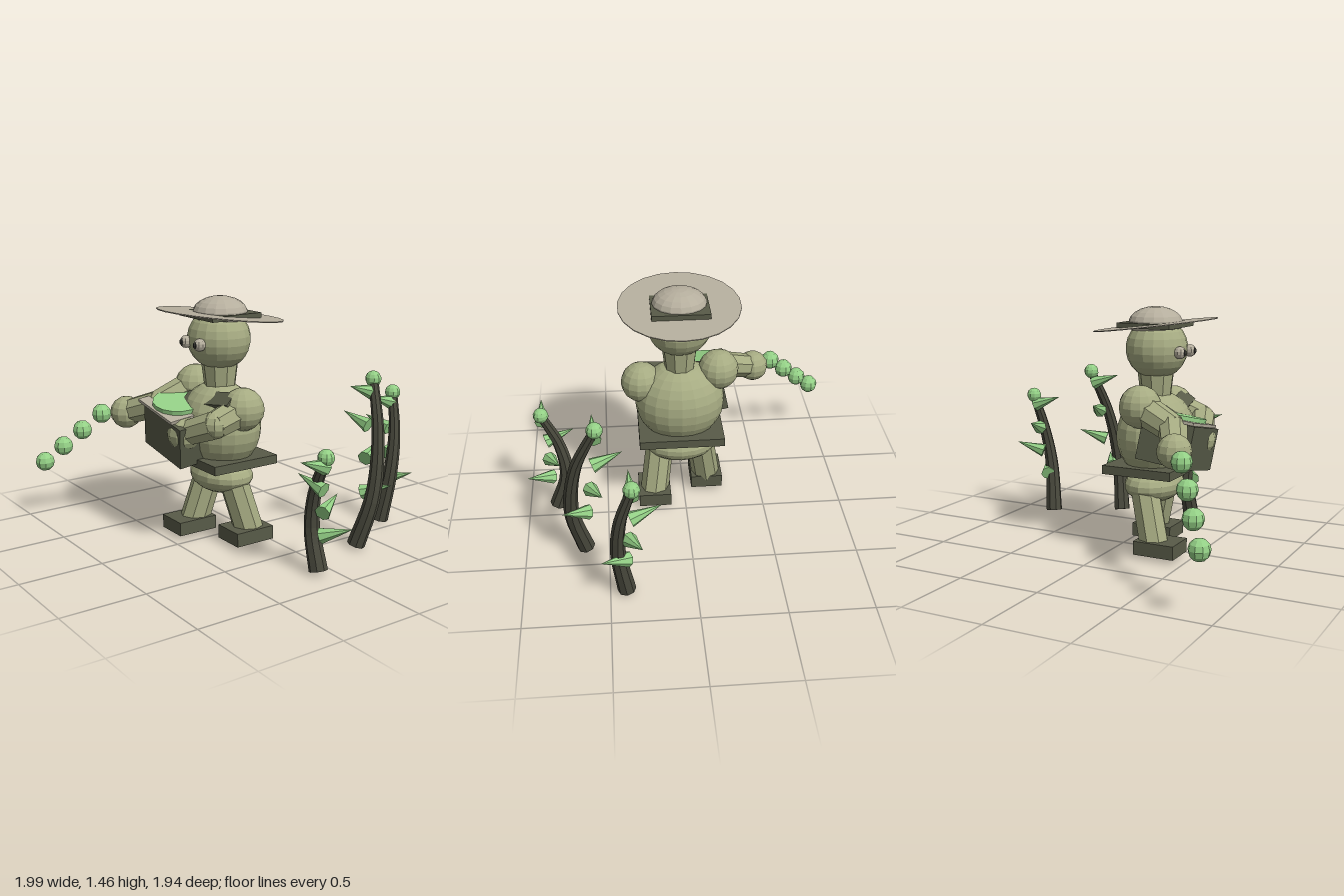
import * as THREE from 'three';

const mat = (name, color, extra = {}) => {
  const m = new THREE.MeshStandardMaterial({ color, flatShading: true, ...extra });
  m.name = name;
  return m;
};
const V = (a) => new THREE.Vector3(...a);
const UP = new THREE.Vector3(0, 1, 0);

export function createModel() {
  const skin = mat('olive skin', 0xa6ab82);
  const dark = mat('dark olive', 0x585b48);
  const bark = mat('bark', 0x48483c);
  const green = mat('leaf green', 0x94d086);
  const straw = mat('straw grey', 0xb5ae9d);
  const black = mat('pupil dark', 0x33332f);

  const model = new THREE.Group();
  model.name = 'gardenerWithThornStems';

  const add = (parent, name, geo, material, pos = [0, 0, 0]) => {
    const mesh = new THREE.Mesh(geo, material);
    mesh.name = name;
    mesh.position.set(...pos);
    parent.add(mesh);
    return mesh;
  };
  const ball = (parent, name, material, pos, size, seg = 16) => {
    const m = add(parent, name, new THREE.SphereGeometry(1, seg, Math.round(seg * 0.7)), material, pos);
    if (Array.isArray(size)) m.scale.set(...size);
    else m.scale.setScalar(size);
    return m;
  };
  // tapered cylinder from point a to point b
  const limb = (parent, name, material, a, b, ra, rb, seg = 8) => {
    const d = V(b).sub(V(a));
    const geo = new THREE.CylinderGeometry(rb, ra, d.length(), seg);
    const m = add(parent, name, geo, material);
    m.position.copy(V(a)).addScaledVector(d, 0.5);
    m.quaternion.setFromUnitVectors(UP, d.normalize());
    return m;
  };

  const figure = new THREE.Group();
  figure.name = 'figure';
  model.add(figure);
  const cx = 0.024, cz = 0.2;

  // torso, pelvis, neck and head
  ball(figure, 'torso', skin, [cx, 0.7, 0.21], [0.278, 0.262, 0.23], 20);
  ball(figure, 'pelvis', skin, [cx, 0.4, cz], [0.227, 0.11, 0.17]);
  add(figure, 'beltPlate', new THREE.BoxGeometry(0.526, 0.052, 0.437), dark, [cx, 0.51, cz]);
  add(figure, 'neck', new THREE.CylinderGeometry(0.112, 0.092, 0.16, 9), skin, [cx, 1.01, 0.205]);
  ball(figure, 'head', skin, [cx, 1.215, 0.21], [0.195, 0.182, 0.182], 18);

  // eyes
  for (const s of [-1, 1]) {
    ball(figure, 'eye', straw, [cx + s * 0.072, 1.203, 0.39], 0.037, 10);
    ball(figure, 'pupil', black, [cx + s * 0.072, 1.203, 0.414], [0.021, 0.021, 0.017], 8);
  }

  // hat: tilted brim, square band, rounded crown
  const brim = add(figure, 'hatBrim', new THREE.CylinderGeometry(0.369, 0.369, 0.006, 22), straw, [cx, 1.353, cz]);
  brim.rotation.x = -0.123;
  add(figure, 'hatBand', new THREE.BoxGeometry(0.347, 0.03, 0.335), dark, [cx, 1.355, cz]);
  ball(figure, 'hatCrown', straw, [cx, 1.365, cz], [0.166, 0.096, 0.158]);

  // legs and feet in mid stride
  for (const [s, topX, footX, footZ] of [['right', -0.105, -0.15, 0.32], ['left', 0.153, 0.196, 0.143]]) {
    const ankleZ = 0.2 + (footZ - 0.23) * 0.9;
    limb(figure, s + 'Leg', skin, [footX, 0.08, ankleZ], [topX, 0.38, 0.2], 0.09, 0.088, 8);
    add(figure, s + 'Foot', new THREE.BoxGeometry(0.202, 0.082, 0.256), dark, [footX, 0.064, footZ]);
  }

  // arms: shoulder, elbow, hand
  const arms = {
    right: [[-0.217, 0.9, 0.22], [-0.27, 0.8, 0.45], [-0.482, 0.722, 0.556]],
    left: [[0.262, 0.838, 0.21], [0.265, 0.775, 0.4], [0.056, 0.69, 0.475]],
  };
  for (const [s, [sh, el, ha]] of Object.entries(arms)) {
    ball(figure, s + 'Shoulder', skin, sh, 0.125, 14);
    limb(figure, s + 'UpperArm', skin, sh, el, 0.095, 0.082);
    ball(figure, s + 'Elbow', skin, el, 0.08, 10);
    limb(figure, s + 'Forearm', skin, el, ha, 0.085, 0.075);
    ball(figure, s + 'Hand', skin, ha, 0.098, 12);
  }

  // seed box with its tray and green disc, tipped forward and sideways
  const box = new THREE.Group();
  box.name = 'seedBox';
  box.position.set(-0.07, 0.675, 0.39);
  box.rotation.set(0.12, 0, -0.2);
  figure.add(box);
  add(box, 'boxBody', new THREE.BoxGeometry(0.39, 0.25, 0.32), dark);
  add(box, 'boxTray', new THREE.BoxGeometry(0.36, 0.018, 0.3), straw, [-0.065, 0.138, 0.02]);
  add(box, 'greenDisc', new THREE.CylinderGeometry(0.15, 0.15, 0.025, 16), green, [-0.06, 0.16, 0.01]);

  // strap across the chest
  const strap = add(figure, 'chestStrap', new THREE.BoxGeometry(0.4, 0.1, 0.04), dark, [0.09, 0.875, 0.325]);
  strap.rotation.set(-0.9, 0, 0.2);

  // scattered seeds falling from the right hand
  for (let i = 0; i < 4; i++) {
    const t = i / 3;
    ball(model, 'seed', green, [-0.615 - 0.328 * t, 0.7 - 0.347 * t, 0.658 + 0.246 * t], 0.06, 9);
  }

  // bent stem that narrows upward, with a tip ball and a spiral of thorns
  const stem = (pts, tip) => {
    const g = new THREE.Group();
    g.name = 'thornStem';
    model.add(g);
    const curve = new THREE.CatmullRomCurve3([...pts, tip].map(V));
    const rings = 14, sides = 8, geo = new THREE.TubeGeometry(curve, rings, 1, sides, false);
    const p = geo.attributes.position, v = new THREE.Vector3();
    for (let i = 0; i <= rings; i++) {
      const c = curve.getPointAt(i / rings), r = 0.054 - 0.026 * (i / rings);
      for (let j = 0; j <= sides; j++) {
        const k = i * (sides + 1) + j;
        v.fromBufferAttribute(p, k).sub(c).multiplyScalar(r).add(c);
        p.setXYZ(k, v.x, v.y, v.z);
      }
    }
    geo.computeVertexNormals();
    add(g, 'stem', geo, bark);
    const cap = add(g, 'stemBase', new THREE.CircleGeometry(0.054, sides), bark, pts[0]);
    cap.quaternion.setFromUnitVectors(new THREE.Vector3(0, 0, 1), curve.getTangentAt(0).negate());
    ball(g, 'stemTip', green, tip, 0.048, 10);
    for (let i = 0; i < 4; i++) {
      const a = THREE.MathUtils.degToRad(87 + 80 * i);
      const base = V(pts[0]).lerp(V(tip), 0.92 - 0.2 * i);
      const end = base.clone().add(new THREE.Vector3(Math.cos(a) * 0.18, 0.06, Math.sin(a) * 0.18));
      limb(g, 'thorn', green, base.toArray(), end.toArray(), 0.046, 0, 7);
    }
  };
  stem([[0.82, 0.018, 0.095], [0.752, 0.25, 0.09], [0.785, 0.47, 0.1]], [0.885, 0.685, 0.11]);
  stem([[0.64, 0.015, -0.34], [0.71, 0.33, -0.4], [0.67, 0.68, -0.46]], [0.546, 0.975, -0.525]);
  stem([[0.405, 0.018, -0.745], [0.447, 0.33, -0.785], [0.43, 0.57, -0.825]], [0.36, 0.815, -0.865]);

  return model;
}
